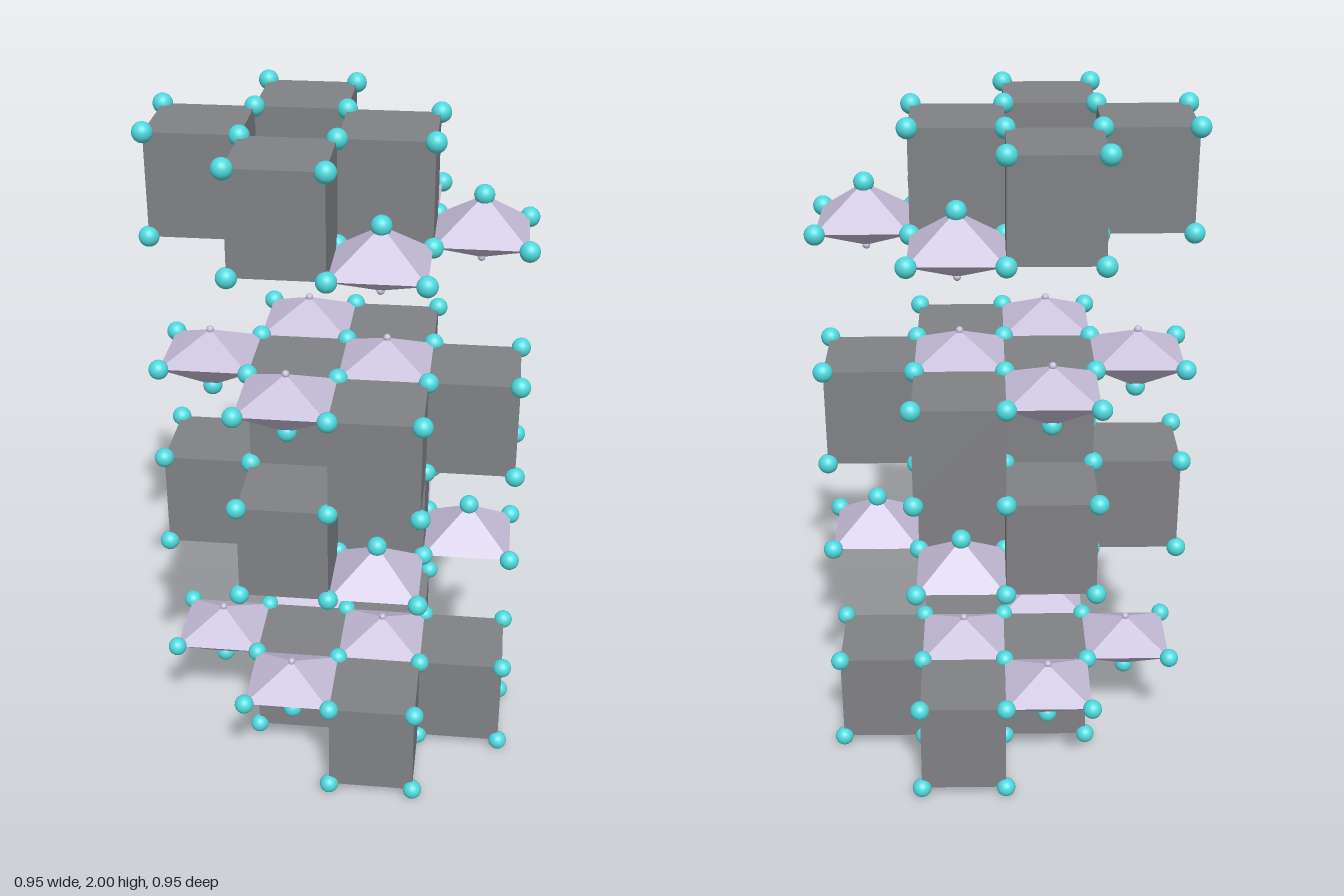
import * as THREE from 'three';

const A = 0.179;        // half diagonal of a polyhedron in plan; the lattice unit
const H = 0.286;        // height of a prism
const TALL = 0.106;     // octahedron apex on the prism side
const SHORT = 0.072;    // octahedron apex on the outer side

const prismMat = new THREE.MeshStandardMaterial({ color: 0x808185 });
const octaMat = new THREE.MeshStandardMaterial({ color: 0xc6bdd8 });
const atomMat = new THREE.MeshStandardMaterial({ color: 0x4fd8dc });

// Octahedron with its equator at y = 0 and unequal upper and lower apexes
function octahedron(up, down) {
  const geo = new THREE.OctahedronGeometry(A);
  const pos = geo.attributes.position;
  for (let i = 0; i < pos.count; i++) {
    const y = pos.getY(i);
    if (Math.abs(y) > A / 2) pos.setY(i, y > 0 ? up : -down);
  }
  geo.computeVertexNormals();
  return geo;
}

export function createModel() {
  const model = new THREE.Group();
  const prismGeo = new THREE.BoxGeometry(A * Math.SQRT2, H, A * Math.SQRT2).rotateY(Math.PI / 4);
  const atomGeo = new THREE.SphereGeometry(0.028, 24, 16);
  const apexGeo = new THREE.SphereGeometry(0.011, 12, 8);
  const placed = new Set();

  const add = (parent, name, geo, mat, x, y, z) => {
    const mesh = new THREE.Mesh(geo, mat);
    mesh.name = name;
    mesh.position.set(x, y, z);
    parent.add(mesh);
  };
  // Shared corners receive one atom only
  const atom = (parent, x, y, z) => {
    const key = [x, y, z].map((v) => Math.round(v * 1000)).join();
    if (placed.has(key)) return;
    placed.add(key);
    add(parent, 'cornerAtom', atomGeo, atomMat, x, y, z);
  };
  const corners = [[A, 0], [-A, 0], [0, A], [0, -A]];

  // s = 1: prisms rise from y0 and octahedra cap the top; s = -1: the inverted layer
  function layer(name, y0, s) {
    const group = new THREE.Group();
    group.name = name;
    const yEq = y0 + s * H;
    const octaGeo = s > 0 ? octahedron(SHORT, TALL) : octahedron(TALL, SHORT);
    for (const i of [-0.5, 1.5]) {
      for (const j of [-0.5, 1.5]) {
        const px = s * i * A, pz = s * j * A;
        add(group, 'prism', prismGeo, prismMat, px, y0 + s * H / 2, pz);
        const ox = -s * i * A, oz = -s * j * A;
        const cx = ox, cz = oz;
        add(group, 'octahedron', octaGeo, octaMat, cx, yEq, cz);
        add(group, 'apexAtom', apexGeo, octaMat, cx, yEq + s * SHORT, cz);
        atom(group, cx, yEq - s * TALL, cz);
        for (const [dx, dz] of corners) {
          atom(group, px + dx, y0, pz + dz);
          atom(group, px + dx, yEq, pz + dz);
          atom(group, cx + dx, yEq, cz + dz);
        }
      }
    }
    model.add(group);
  }

  layer('bottomLayer', 0.028, 1);
  layer('lowerMiddleLayer', 1, -1);
  layer('upperMiddleLayer', 1, 1);
  layer('topLayer', 1.972, -1);
  return model;
}
